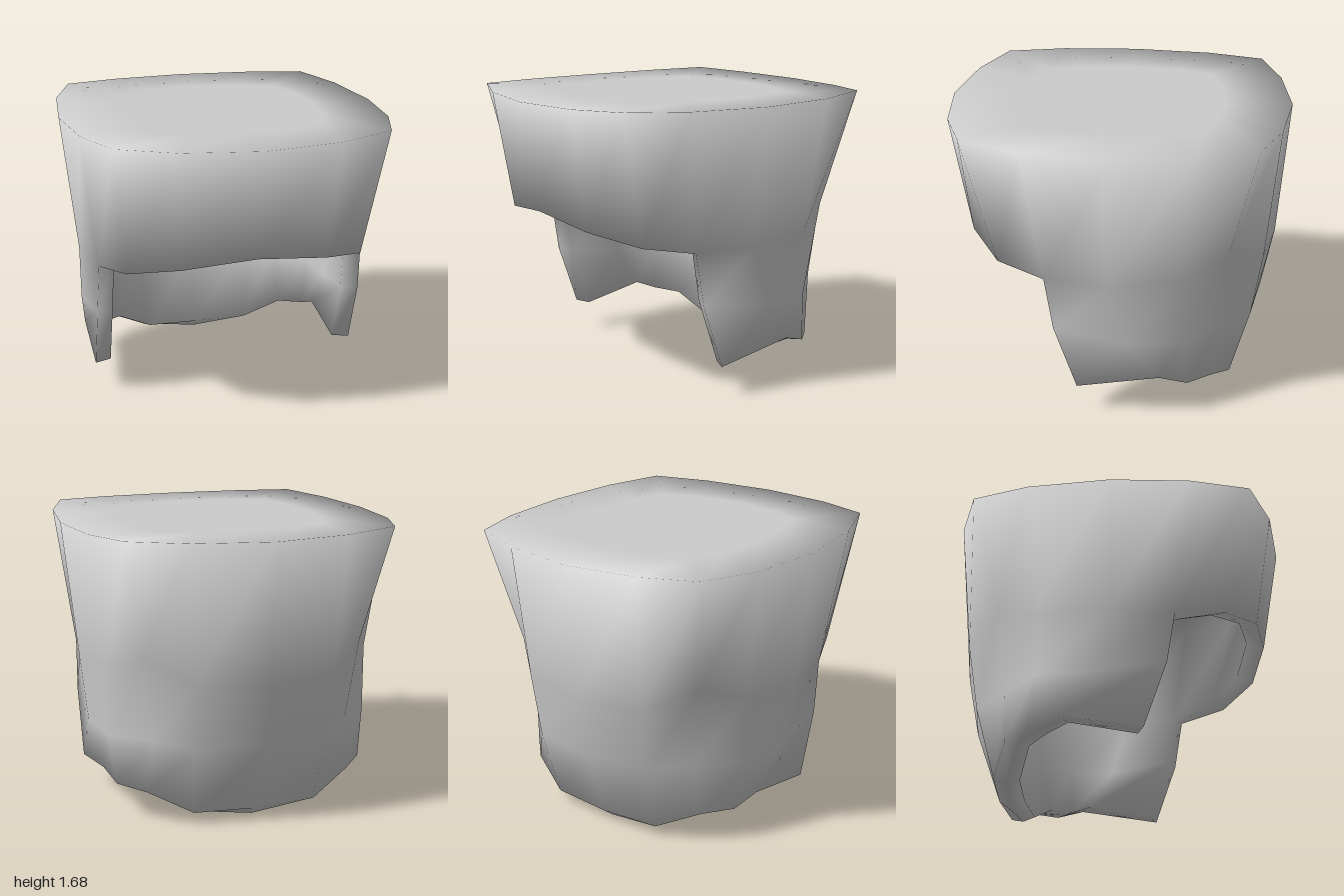
import * as THREE from 'three';
import { mergeVertices } from 'three/addons/utils/BufferGeometryUtils.js';

// Half of the shell, columns running from front centre over +x to back centre.
// Each column goes from the rim down to its lower edge.
const HALF = [
  [[0, 1.67, 1], [0, 1.03, 0.89]],
  [[0.45, 1.675, 0.94], [0.42, 0.98, 0.83]],
  [[0.78, 1.685, 0.81], [0.69, 0.915, 0.64]],
  [[0.9, 1.675, 0.46], [0.8, 0.87, 0.36], [0.81, 0.56, 0.31], [0.81, 0.18, 0.18]],
  [[0.95, 1.67, 0], [0.86, 0.87, 0], [0.84, 0.5, -0.12], [0.8, 0.26, -0.3]],
  [[0.9, 1.675, -0.48], [0.8, 0.9, -0.42], [0.8, 0.5, -0.42], [0.76, 0.21, -0.46]],
  [[0.78, 1.685, -0.82], [0.65, 1, -0.67], [0.59, 0.5, -0.62], [0.62, 0.19, -0.6]],
  [[0.45, 1.675, -0.94], [0.41, 0.88, -0.87], [0.4, 0.49, -0.81], [0.37, 0.07, -0.7]],
  [[0, 1.67, -1], [0, 0.86, -0.94], [0, 0.49, -0.87], [0, 0.06, -0.72]],
];
const DROP = [0, 0, 0, 0, 0, 0, 0.01, 0.02, 0.06]; // how far the lower lip sags
const TOP = 1.67, INNER_TOP = 1.57, COUNT = 16;

// One column: outer path, inner path and the lip point between them
function makeColumn(k) {
  const i = k <= 8 ? k : COUNT - k, side = k <= 8 ? 1 : -1;
  const pts = HALF[i].map(([x, y, z]) => new THREE.Vector3(x * side, y, z));
  const last = pts.length - 1;
  const inner = pts.map((p, r) => new THREE.Vector3(
    p.x * 0.88,
    r === 0 ? INNER_TOP : p.y + (last === 1 ? 0.03 : 0),
    p.z * (r === 3 ? 0.79 : 0.88)));
  const lip = pts[last].clone().lerp(inner[last], 0.5);
  lip.y -= DROP[i];
  const cap = (ring, y) => [new THREE.Vector3(0, y, 0),
    new THREE.Vector3(ring[0].x * 0.62, y, ring[0].z * 0.62)];
  return { outer: [...cap(pts, TOP), ...pts], inner: [...cap(inner, INNER_TOP), ...inner], lip };
}

// Smooth normals weighted by corner angle, so narrow edges round off softly
function smoothNormals(geo) {
  const p = geo.attributes.position, index = geo.index.array;
  const at = (i) => new THREE.Vector3().fromBufferAttribute(p, i);
  const sums = Array.from({ length: p.count }, () => new THREE.Vector3());
  for (let t = 0; t < index.length; t += 3) {
    for (let c = 0; c < 3; c++) {
      const i = index[t + c], o = at(i);
      const u = at(index[t + (c + 1) % 3]).sub(o), v = at(index[t + (c + 2) % 3]).sub(o);
      const angle = u.angleTo(v);
      sums[i].addScaledVector(u.cross(v).normalize(), angle);
    }
  }
  const normals = sums.flatMap((n) => n.normalize().toArray());
  geo.setAttribute('normal', new THREE.Float32BufferAttribute(normals, 3));
  return geo;
}

function makeShell() {
  const cols = Array.from({ length: COUNT }, (_, k) => makeColumn(k));
  const pos = [];
  const tri = (...v) => {
    // skip the collapsed halves at the crown
    if (v[0].equals(v[1]) || v[1].equals(v[2]) || v[2].equals(v[0])) return;
    v.forEach((p) => pos.push(p.x, p.y, p.z));
  };
  const quad = (a, b, c, d) => {
    tri(a, b, d);
    tri(b, c, d);
  };

  for (let k = 0; k < COUNT; k++) {
    const a = cols[k], b = cols[(k + 1) % COUNT];
    const end = Math.min(a.outer.length, b.outer.length) - 1;

    // top, outer wall and lining
    for (let r = 0; r < end; r++) {
      quad(a.outer[r], a.outer[r + 1], b.outer[r + 1], b.outer[r]);
      quad(b.inner[r], b.inner[r + 1], a.inner[r + 1], a.inner[r]);
    }

    // lower edge: a rounded lip at sides and back, a plain one under the fringe
    if (end === 5) {
      quad(a.outer[end], a.lip, b.lip, b.outer[end]);
      quad(a.lip, a.inner[end], b.inner[end], b.lip);
    } else {
      quad(a.outer[end], a.inner[end], b.inner[end], b.outer[end]);
    }

    // front edges of the side panels
    for (let r = end; r < a.outer.length - 1; r++)
      quad(a.outer[r], a.outer[r + 1], a.inner[r + 1], a.inner[r]);
    for (let r = end; r < b.outer.length - 1; r++)
      quad(b.outer[r + 1], b.outer[r], b.inner[r], b.inner[r + 1]);
  }

  const geo = new THREE.BufferGeometry();
  geo.setAttribute('position', new THREE.Float32BufferAttribute(pos, 3));
  return smoothNormals(mergeVertices(geo, 1e-4));
}

export function createModel() {
  const group = new THREE.Group();
  group.name = 'hairCap';
  const shell = new THREE.Mesh(makeShell(), new THREE.MeshStandardMaterial({ color: 0xcccccc }));
  shell.name = 'hairShell';
  group.add(shell);
  return group;
}
